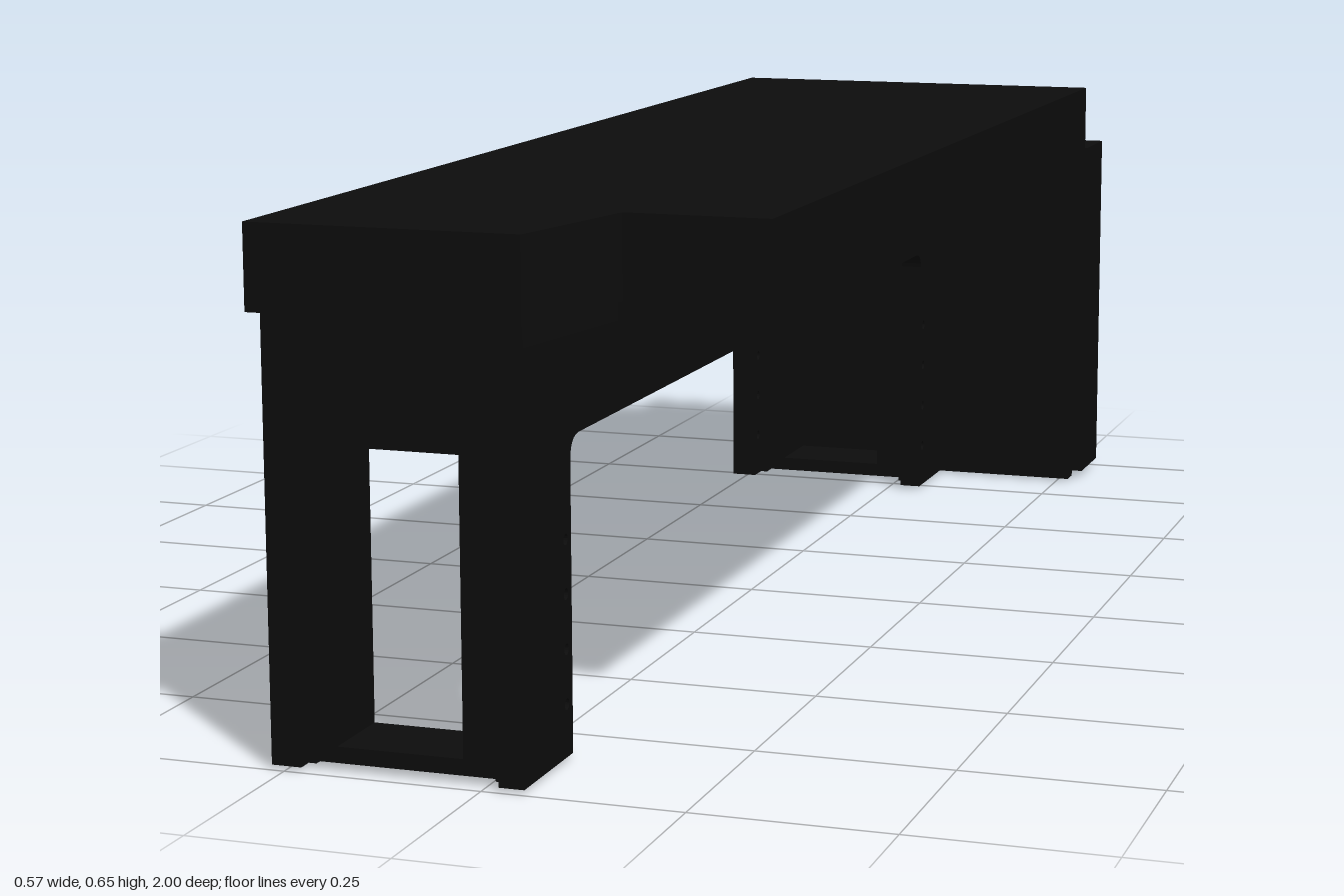
import * as THREE from 'three';

const black = new THREE.MeshStandardMaterial({ color: 0x0d0d0d });
black.name = 'black';

function add(parent, name, geometry) {
  const mesh = new THREE.Mesh(geometry, black);
  mesh.name = name;
  parent.add(mesh);
  return mesh;
}

// Box given by its extents along each axis
function box(parent, name, [x0, x1], [y0, y1], [z0, z1]) {
  const mesh = add(parent, name, new THREE.BoxGeometry(x1 - x0, y1 - y0, z1 - z0));
  mesh.position.set((x0 + x1) / 2, (y0 + y1) / 2, (z0 + z1) / 2);
  return mesh;
}

// Horizontal plate from an outline in x and z
function plate(parent, name, outline, y0, y1) {
  const shape = new THREE.Shape(outline.map(([x, z]) => new THREE.Vector2(x, z)));
  const geometry = new THREE.ExtrudeGeometry(shape, { depth: y1 - y0, bevelEnabled: false });
  geometry.rotateX(Math.PI / 2);
  add(parent, name, geometry).position.y = y1;
}

// Side frame: beam with two legs, rounded inner corners and rows of bolt holes
function sideFrame(parent, name, x0, x1) {
  const s = new THREE.Shape(); // horizontal axis is -z
  const r = 0.03, low = 0.005, under = 0.39, front = -0.84, back = 0.72;
  s.moveTo(-0.995, low);
  s.lineTo(front, low);
  s.lineTo(front, under - r);
  s.quadraticCurveTo(front, under, front + r, under);
  s.lineTo(back - r, under);
  s.quadraticCurveTo(back, under, back, under - r);
  s.lineTo(back, low);
  s.lineTo(0.87, low);
  s.lineTo(0.87, 0.545);
  s.lineTo(-0.995, 0.545);
  s.closePath();
  for (const u of [-0.858, 0.737]) {
    for (const y of [0.07, 0.137, 0.204, 0.27]) {
      const hole = new THREE.Path();
      hole.absarc(u, y, 0.007, 0, Math.PI * 2, true);
      s.holes.push(hole);
    }
  }
  const geometry = new THREE.ExtrudeGeometry(s, { depth: x1 - x0, bevelEnabled: false, curveSegments: 8 });
  geometry.rotateY(Math.PI / 2);
  add(parent, name, geometry).position.x = x0;
}

// Cross frame joining the two legs at one end
function legFrame(parent, name, z0, z1) {
  const g = new THREE.Group();
  g.name = name;
  parent.add(g);
  for (const [a, b] of [[-0.23, -0.19], [-0.03, 0.02]]) {
    box(g, 'post', [a, b], [0.01, 0.54], [z0, z1]);
  }
  box(g, 'topPanel', [-0.23, 0.02], [0.39, 0.54], [z0, z1]);
  box(g, 'bottomRail', [-0.23, 0.02], [0.01, 0.03], [z0, z1]);
  for (const x of [-0.24, 0.015]) {
    box(g, 'foot', [x - 0.013, x + 0.013], [0, 0.012], [z0 + 0.02, z1 - 0.02]);
  }
}

export function createModel() {
  const model = new THREE.Group();
  model.name = 'benchUnit';

  // Top with a slanted notch at the front, and an inset lip below it
  plate(model, 'top', [
    [-0.285, -0.87], [0.285, -0.87], [0.285, 0.79], [0.1, 0.79], [0.058, 1], [-0.285, 1],
  ], 0.545, 0.65);
  plate(model, 'topLip', [
    [-0.265, -0.86], [0.27, -0.86], [0.27, 0.78], [0.09, 0.78], [0.055, 0.99], [-0.265, 0.99],
  ], 0.52, 0.545);

  // Legs and beams
  sideFrame(model, 'rightSideFrame', -0.268, -0.23);
  sideFrame(model, 'leftSideFrame', 0.02, 0.052);
  legFrame(model, 'frontLegFrame', 0.875, 0.98);
  legFrame(model, 'backLegFrame', -0.86, -0.755);

  // Rear cabinet and the panel that carries it
  box(model, 'cabinetMount', [-0.268, 0.268], [0.003, 0.54], [-0.89, -0.86]);
  box(model, 'rearCabinet', [-0.285, 0.285], [0.012, 0.55], [-1, -0.888]);

  return model;
}
